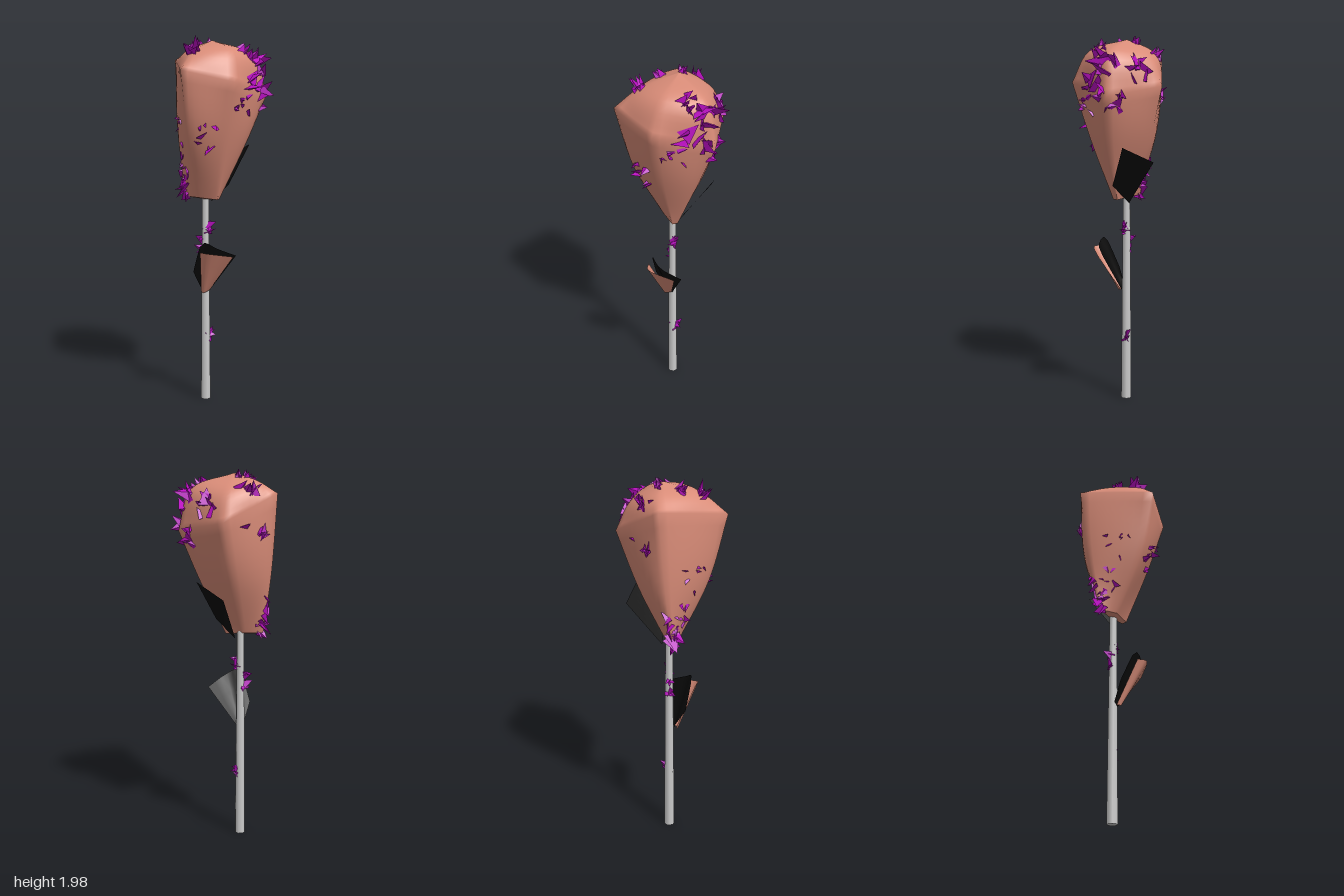
import * as THREE from 'three';
import { mergeGeometries } from 'three/addons/utils/BufferGeometryUtils.js';

const V = (p) => new THREE.Vector3(...p);
const mat = (color, flatShading = false) =>
  new THREE.MeshStandardMaterial({ color, flatShading, side: THREE.DoubleSide });
const PINK = 0xd98c78, PURPLE = 0xb80fc0, BLACK = 0x0a0a0a;

// Small seeded random generator
function seeded(seed) {
  return () => {
    seed = (seed * 16807) % 2147483647;
    return seed / 2147483647;
  };
}

// Surface through a grid of points given by fn(u, v)
function surface(fn, nu, nv) {
  const pos = [], idx = [];
  for (let j = 0; j <= nv; j++)
    for (let i = 0; i <= nu; i++) pos.push(...fn(i / nu, j / nv).toArray());
  for (let j = 0; j < nv; j++)
    for (let i = 0; i < nu; i++) {
      const a = j * (nu + 1) + i, b = a + 1, c = a + nu + 1, d = c + 1;
      idx.push(a, b, d, a, d, c);
    }
  const g = new THREE.BufferGeometry();
  g.setAttribute('position', new THREE.Float32BufferAttribute(pos, 3));
  g.setIndex(idx);
  g.computeVertexNormals();
  return g;
}

// Ruled sheet between a lower and an upper row of points
function sheet(lower, upper) {
  const lo = new THREE.CatmullRomCurve3(lower.map(V)), hi = new THREE.CatmullRomCurve3(upper.map(V));
  return surface((u, v) => lo.getPoint(u).lerp(hi.getPoint(u), v), 8, 3);
}

// Bulb ridges (left, front, right front, right back, back): foot, middle, rim, shoulder
const CROWN = [-0.05, 1.96, -0.04];
const RIDGES = [
  [[-0.2, 1.13, -0.01], [-0.25, 1.45, -0.05], [-0.285, 1.86, -0.085], [-0.18, 1.92, -0.07]],
  [[-0.1, 1.13, 0.03], [-0.09, 1.46, 0.19], [-0.09, 1.8, 0.28], [-0.07, 1.9, 0.15]],
  [[0, 1.12, 0.01], [0.08, 1.44, 0.1], [0.155, 1.74, 0.16], [0.1, 1.9, 0.09]],
  [[0, 1.12, -0.02], [0.13, 1.42, -0.08], [0.22, 1.67, -0.14], [0.16, 1.88, -0.11]],
  [[-0.1, 1.13, -0.03], [-0.08, 1.42, -0.17], [-0.05, 1.72, -0.28], [-0.05, 1.87, -0.2]],
].map(([a, b, c, d]) => [
  new THREE.CatmullRomCurve3([a, b, c].map(V)),
  new THREE.CatmullRomCurve3([c, d, CROWN].map(V)),
]);

// Point on the bulb: u runs round the ridges, v from foot to crown
function bulbPoint(u, v) {
  const ring = RIDGES.map(([side, dome]) => (v <= 0.5 ? side.getPoint(v * 2) : dome.getPoint(v * 2 - 1)));
  const k = Math.min(4, Math.floor(u * 5 + 1e-6));
  const straight = ring[k].clone().lerp(ring[(k + 1) % 5], u * 5 - k);
  // The sides are straight at the rim and round out above and below it
  const round = new THREE.CatmullRomCurve3(ring, true, 'catmullrom', 0.5).getPoint(u);
  return straight.lerp(round, 0.75 * Math.abs(Math.sin(v * Math.PI * 2)));
}

function bulbGeometry() {
  const nu = 40, nv = 24;
  const wall = surface(bulbPoint, nu, nv);
  const foot = surface((u, v) => V([-0.08, 1.12, 0]).lerp(bulbPoint(u, 0), v), nu, 1);
  // Make the normals run on across the seam
  const n = wall.attributes.normal, s = new THREE.Vector3(), e = new THREE.Vector3();
  for (let j = 0; j <= nv; j++) {
    const a = j * (nu + 1), b = a + nu;
    s.fromBufferAttribute(n, a).add(e.fromBufferAttribute(n, b)).normalize();
    n.setXYZ(a, s.x, s.y, s.z);
    n.setXYZ(b, s.x, s.y, s.z);
  }
  return mergeGeometries([wall, foot]);
}

// Shard clusters on the bulb: u, v, size
const BULB_CLUSTERS = [
  [0.53, 0.53, 0.11], [0.6, 0.66, 0.13], [0.72, 0.64, 0.09], [0.62, 0.47, 0.07],
  [0.53, 0.76, 0.08], [0.92, 0.7, 0.08], [0.1, 0.8, 0.07], [0.95, 0.9, 0.06],
  [0.2, 0.75, 0.1], [0.3, 0.26, 0.08], [0.1, 0.27, 0.035], [0.1, 0.12, 0.05],
  [0.02, 0.1, 0.06], [0.03, 0.02, 0.1], [0.9, 0.42, 0.06], [0.46, 0.45, 0.05],
];
// Shard clusters on the stem: height, angle
const STEM_CLUSTERS = [[0.94, 0], [0.86, Math.PI], [0.37, -0.7]];

// Flat shard at a point, leaning about the outward direction
function shard(point, out, size, rnd) {
  const lean = new THREE.Vector3(rnd() - 0.5, rnd() - 0.5, rnd() - 0.5).multiplyScalar(1.6);
  const h = size * (0.55 + 0.55 * rnd());
  const g = new THREE.ConeGeometry(h * 0.5, h, 3);
  g.scale(1, 1, 0.35).translate(0, h * 0.2, 0).rotateY(rnd() * Math.PI * 2);
  g.applyQuaternion(new THREE.Quaternion().setFromUnitVectors(
    new THREE.Vector3(0, 1, 0), lean.add(out).normalize()));
  return g.translate(point.x, point.y, point.z);
}

export function createModel() {
  const group = new THREE.Group();
  const add = (name, geometry, material) => {
    const mesh = new THREE.Mesh(geometry, material);
    mesh.name = name;
    group.add(mesh);
  };

  // Tapered stem
  add('stem', new THREE.CylinderGeometry(0.019, 0.028, 1.2, 8).translate(-0.079, 0.6, -0.015), mat(0xcccccc));

  // Flower bulb
  add('bulb', bulbGeometry(), mat(PINK));

  // Leaf on the stem, with a dark backing
  add('leaf', sheet(
    [[-0.09, 0.61, 0.02], [-0.07, 0.61, 0.035], [-0.05, 0.62, 0]],
    [[-0.05, 0.85, 0.13], [0, 0.85, 0.15], [0.1, 0.82, 0.03]]), mat(PINK));
  add('leafBacking', sheet(
    [[-0.095, 0.63, 0.01], [-0.075, 0.61, 0.01], [-0.05, 0.62, -0.005]],
    [[-0.115, 0.73, 0.07], [-0.04, 0.9, 0.11], [0.03, 0.87, 0.09], [0.1, 0.82, -0.01]]), mat(BLACK));

  // Dark loose petal under the back of the bulb
  add('loosePetal', sheet(
    [[0.05, 1.2, -0.03], [-0.06, 1.1, -0.05]],
    [[0.12, 1.41, -0.16], [-0.04, 1.33, -0.235]]), mat(BLACK));

  // Shards scattered over the bulb and stem
  const shards = mat(PURPLE, true);
  BULB_CLUSTERS.forEach(([u, v, size], c) => {
    const rnd = seeded(c * 7919 + 8000);
    const parts = Array.from({ length: 7 }, () => {
      const p = bulbPoint((u + 1 + (rnd() - 0.5) * 0.09) % 1, Math.max(0, v + (rnd() - 0.5) * 0.12));
      return shard(p, p.clone().sub(V([-0.05, 1.55, -0.02])).normalize(), size, rnd);
    });
    add('bulbShards' + (c + 1), mergeGeometries(parts), shards);
  });
  STEM_CLUSTERS.forEach(([y, angle], c) => {
    const rnd = seeded(c * 7919 + 500000);
    const out = V([Math.cos(angle), 0.4, Math.sin(angle)]).normalize();
    const parts = Array.from({ length: 5 }, () =>
      shard(V([-0.079, y + (rnd() - 0.5) * 0.08, -0.015]).addScaledVector(out, 0.02), out, 0.07, rnd));
    add('stemShards' + (c + 1), mergeGeometries(parts), shards);
  });

  return group;
}
